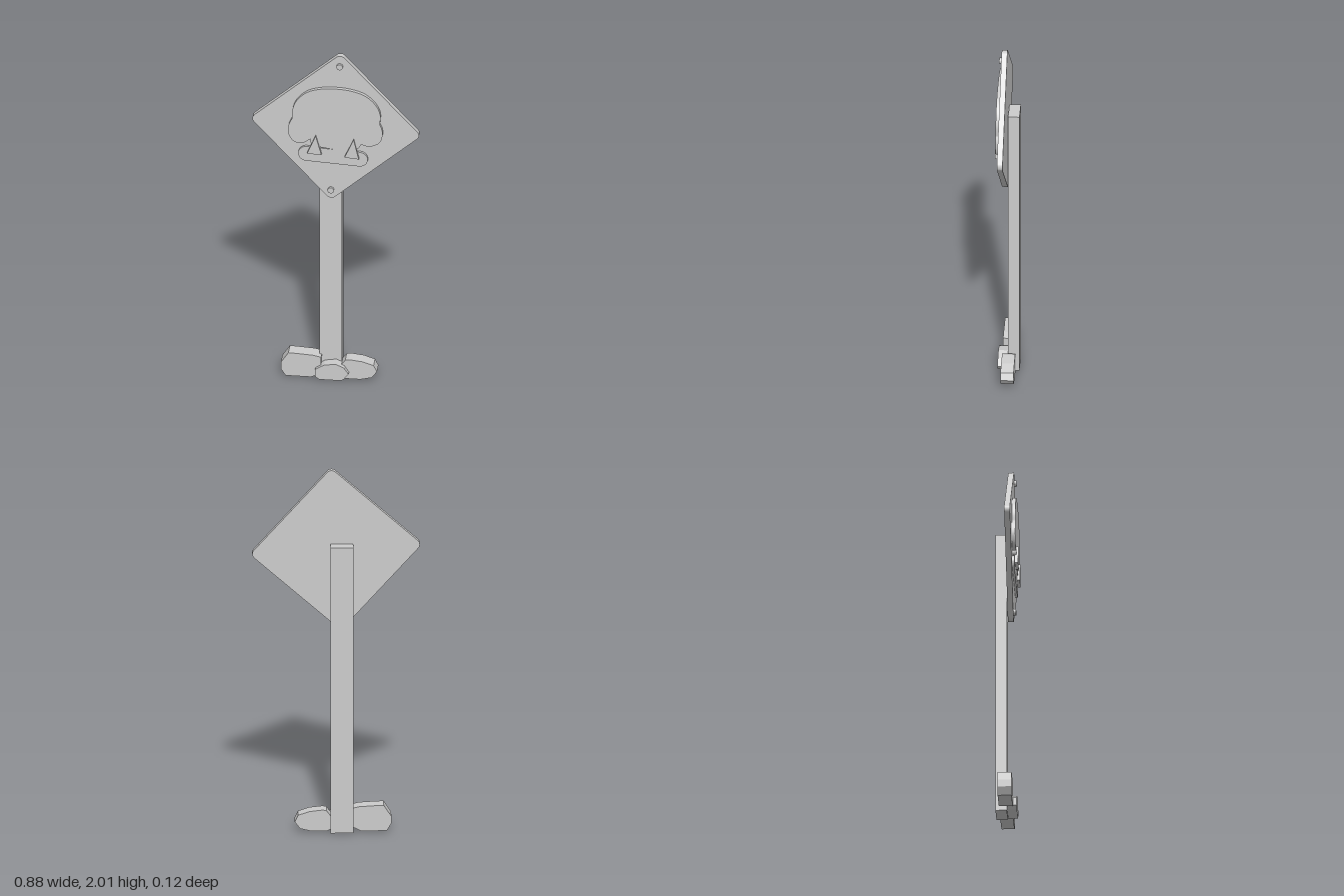
import * as THREE from 'three';

const grey = new THREE.MeshStandardMaterial({ color: 0xcccccc });
grey.name = 'plain grey';

const toVectors = (pts) => pts.map(([x, y]) => new THREE.Vector2(x, y));

// Extrude a flat outline from z0 to z1
function plate(name, shape, z0, z1) {
  const geo = new THREE.ExtrudeGeometry(shape, { depth: z1 - z0, bevelEnabled: false, curveSegments: 10 });
  geo.translate(0, 0, z0);
  const mesh = new THREE.Mesh(geo, grey);
  mesh.name = name;
  return mesh;
}
const polygon = (pts) => new THREE.Shape(toVectors(pts));

// Rectangle with rounded corners, centred on the origin
function roundedRect(w, h, r) {
  const s = new THREE.Shape();
  const x = w / 2 - r, y = h / 2 - r;
  s.absarc(x, y, r, 0, Math.PI / 2);
  s.absarc(-x, y, r, Math.PI / 2, Math.PI);
  s.absarc(-x, -y, r, Math.PI, Math.PI * 1.5);
  s.absarc(x, -y, r, Math.PI * 1.5, Math.PI * 2);
  s.closePath();
  return s;
}

export function createModel() {
  const model = new THREE.Group();
  model.name = 'signpost';

  // Post
  const post = new THREE.Mesh(new THREE.BoxGeometry(0.12, 1.595, 0.06), grey);
  post.name = 'post';
  post.position.set(-0.03, 0.7975, -0.033);
  model.add(post);

  // Tilted diamond board
  const board = plate('board', roundedRect(0.641, 0.641, 0.03), 0, 0.03);
  board.position.y = 1.565;
  board.rotation.z = THREE.MathUtils.degToRad(41.7);
  model.add(board);

  // Bolts at the top and bottom corners
  for (const [name, x, y] of [['topBolt', 0.022, 1.943], ['bottomBolt', -0.025, 1.176]]) {
    const bolt = new THREE.Mesh(new THREE.CylinderGeometry(0.017, 0.017, 0.014, 16), grey);
    bolt.name = name;
    bolt.rotation.x = Math.PI / 2;
    bolt.position.set(x, y, 0.036);
    model.add(bolt);
  }

  // Raised emblem: domed head with a lobe at each side
  const head = new THREE.Shape();
  head.moveTo(-0.228, 1.615);
  head.splineThru(toVectors([
    [-0.227, 1.665], [-0.205, 1.725], [-0.15, 1.78], [-0.08, 1.805], [0, 1.812],
    [0.08, 1.805], [0.155, 1.78], [0.21, 1.73], [0.237, 1.67], [0.235, 1.605],
  ]));
  head.splineThru(toVectors([
    [0.248, 1.57], [0.247, 1.525], [0.228, 1.488], [0.18, 1.467], [0.137, 1.477],
  ]));
  head.splineThru(toVectors([[0.115, 1.447], [0.065, 1.432], [-0.07, 1.445], [-0.125, 1.465], [-0.132, 1.493]]));
  head.splineThru(toVectors([
    [-0.175, 1.466], [-0.222, 1.475], [-0.248, 1.52], [-0.247, 1.57], [-0.228, 1.615],
  ]));
  model.add(plate('emblemHead', head, 0.028, 0.049));

  // Jaw bar under the head
  const jaw = plate('emblemJaw', roundedRect(0.368, 0.088, 0.044), 0.028, 0.043);
  jaw.position.set(-0.013, 1.389, 0);
  jaw.rotation.z = -0.06;
  model.add(jaw);

  // Two fangs standing on the jaw
  model.add(plate('rightFang', polygon([[-0.148, 1.408], [-0.072, 1.403], [-0.103, 1.52]]), 0.042, 0.059));
  model.add(plate('leftFang', polygon([[0.05, 1.397], [0.125, 1.39], [0.098, 1.51]]), 0.042, 0.059));

  // Stones around the foot of the post
  model.add(plate('rightStone', polygon([
    [-0.29, 0.085], [-0.29, 0.045], [-0.265, 0.005], [-0.13, 0.005], [-0.08, 0.03],
    [-0.077, 0.13], [-0.12, 0.14], [-0.2, 0.145], [-0.25, 0.147],
  ]), -0.043, 0.03));
  model.add(plate('leftStone', polygon([
    [0.02, 0.02], [0.05, 0.005], [0.13, 0.005], [0.19, 0.02], [0.218, 0.058],
    [0.2, 0.095], [0.14, 0.115], [0.07, 0.123], [0.05, 0.118], [0.025, 0.085],
  ]), -0.043, 0.026));
  model.add(plate('frontStone', polygon([
    [-0.107, 0.065], [-0.107, 0.02], [-0.085, 0.005], [0.03, 0.005], [0.045, 0.015],
    [0.07, 0.047], [0.045, 0.085], [0, 0.105], [-0.06, 0.095],
  ]), -0.002, 0.05));

  return model;
}
